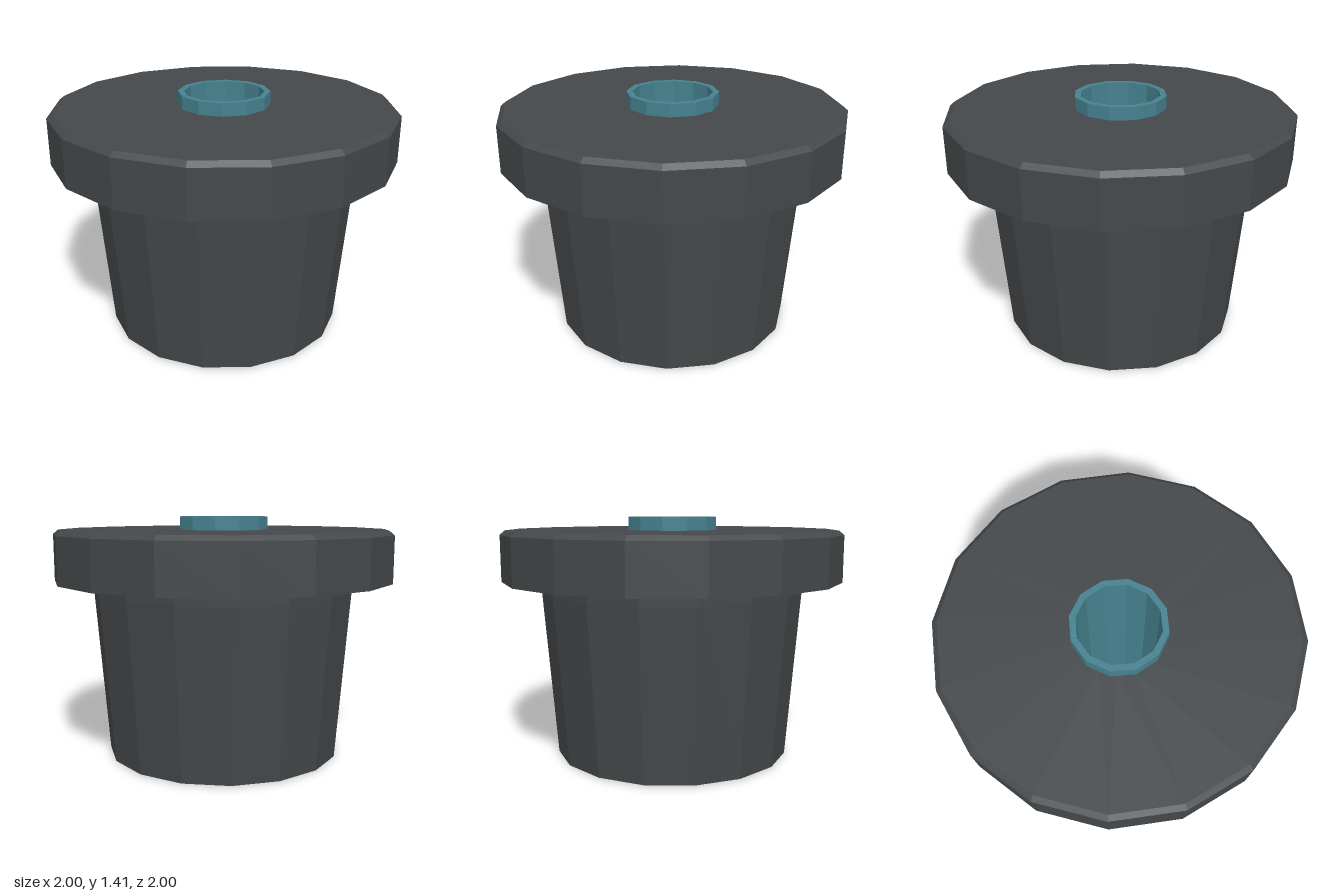
import * as THREE from 'three';

const rubber = new THREE.MeshStandardMaterial({ color: 0x44484a, flatShading: true });
const metal = new THREE.MeshStandardMaterial({ color: 0x468290, flatShading: true });

// Faceted turned part from [radius, height] points, listed bottom to top on the outside
function turned(name, profile, sides, material) {
  const points = profile.map(([r, y]) => new THREE.Vector2(r, y));
  const mesh = new THREE.Mesh(new THREE.LatheGeometry(points, sides), material);
  mesh.name = name;
  return mesh;
}

export function createModel() {
  const group = new THREE.Group();
  group.name = 'bushing';

  // Tapered body: underside, then the wall up to the flange
  group.add(turned('body', [[0.25, 0.003], [0.695, 0.003], [0.77, 0.97], [0.772, 1.04]], 16, rubber));

  // Wide flange with a small chamfer on its top rim
  group.add(turned('flange', [[0.772, 1.04], [1, 1.04], [1, 1.31], [0.97, 1.335], [0.25, 1.335]], 16, rubber));

  // Hollow sleeve running right through, standing proud of the flange
  const sleeve = turned('sleeve', [
    [0.23, 0], [0.265, 0], [0.265, 1.41], [0.23, 1.41], [0.23, 0],
  ], 12, metal);
  sleeve.rotation.y = THREE.MathUtils.degToRad(8);
  group.add(sleeve);

  return group;
}
